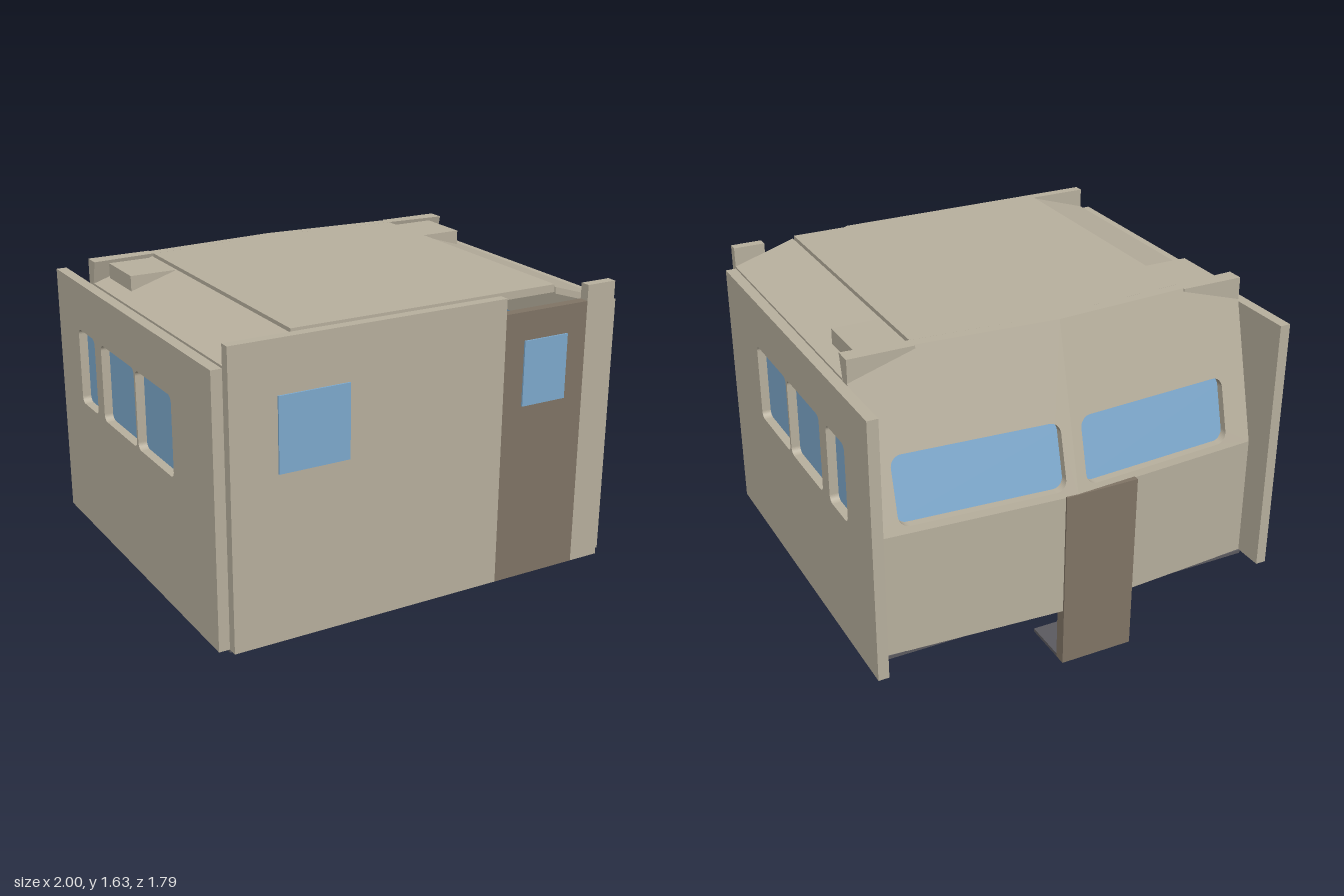
import * as THREE from 'three';

const mat = (name, color) => {
  const m = new THREE.MeshStandardMaterial({ color });
  m.name = name;
  return m;
};

// closed polygon from [x, y] pairs
const poly = (pts) => new THREE.Shape(pts.map(([x, y]) => new THREE.Vector2(x, y)));
const rect = (x0, x1, y0, y1) => poly([[x0, y0], [x1, y0], [x1, y1], [x0, y1]]);

// rectangle with rounded corners
function rounded(x0, x1, y0, y1, r) {
  const s = new THREE.Shape();
  s.absarc(x1 - r, y0 + r, r, -Math.PI / 2, 0);
  s.absarc(x1 - r, y1 - r, r, 0, Math.PI / 2);
  s.absarc(x0 + r, y1 - r, r, Math.PI / 2, Math.PI);
  s.absarc(x0 + r, y0 + r, r, Math.PI, Math.PI * 1.5);
  s.closePath();
  return s;
}

const extrude = (shape, depth) =>
  new THREE.ExtrudeGeometry(shape, { depth, bevelEnabled: false, curveSegments: 6 });

// outer surface of the rear wall: pointed in plan, leaning inward above the fold
const FOLD = 0.88, TOP = 1.635, THICK = 0.05;
const rearZ = (x, y) => -0.815 + 0.068 * Math.abs(x) + 0.265 * Math.max(0, y - FOLD);

// shear a flat slab so that it follows the rear wall
function onRear(shape, depth, offset = 0) {
  const g = extrude(shape, depth);
  const p = g.attributes.position;
  for (let i = 0; i < p.count; i++) {
    p.setZ(i, p.getZ(i) + offset + rearZ(p.getX(i), p.getY(i)));
  }
  g.computeVertexNormals();
  return g;
}

export function createModel() {
  const root = new THREE.Group();
  root.name = 'wheelhouse';
  const hull = mat('hullBeige', 0xb9b19f);
  const brown = mat('doorBrown', 0x817566);
  const glass = mat('windowBlue', 0x7fabcf);
  const grey = mat('floorGrey', 0x5c5b60);

  const add = (name, geometry, material) => {
    const m = new THREE.Mesh(geometry, material);
    m.name = name;
    root.add(m);
    return m;
  };
  // box given by its limits
  const box = (name, material, x0, x1, y0, y1, z0, z1) => {
    const m = add(name, new THREE.BoxGeometry(x1 - x0, y1 - y0, z1 - z0), material);
    m.position.set((x0 + x1) / 2, (y0 + y1) / 2, (z0 + z1) / 2);
  };

  // front wall, left open around the door
  box('frontWall', hull, -0.95, 0.365, 0.285, 1.622, 0.838, 0.885);
  box('frontWallEnd', hull, 0.8, 0.95, 0.285, 1.622, 0.838, 0.885);
  box('frontDoor', brown, 0.365, 0.8, 0.285, 1.55, 0.838, 0.885);
  box('frontWindow', glass, -0.735, -0.405, 1.05, 1.385, 0.884, 0.893);
  box('frontDoorWindow', glass, 0.465, 0.695, 1.12, 1.42, 0.884, 0.893);

  // side windows as [start, end] along -z
  const sidePanes = [[-0.44, -0.055], [-0.04, 0.35], [0.43, 0.635]];
  for (const s of [1, -1]) {
    const side = s > 0 ? 'left' : 'right';

    // side wall with three rounded openings and recessed panes
    const wall = rect(-0.838, 0.895, 0.285, 1.52);
    for (const [a, b] of sidePanes) wall.holes.push(rounded(a, b, 0.92, 1.29, 0.03));
    add(side + 'Wall', extrude(wall, 0.05).rotateY(Math.PI / 2)
      .translate(s > 0 ? 0.95 : -1, 0, 0), hull);
    for (const [a, b] of sidePanes) {
      add(side + 'Window', extrude(rounded(a, b, 0.92, 1.29, 0.03), 0.008)
        .rotateY(Math.PI / 2).translate(s * 0.955 - 0.004, 0, 0), glass);
    }

    // rear wall half: upright base, leaning upper part and its window
    const x0 = s > 0 ? 0 : -0.95, x1 = s > 0 ? 0.95 : 0;
    const w0 = s > 0 ? 0.05 : -0.82, w1 = s > 0 ? 0.82 : -0.05;
    add(side + 'RearBase', onRear(rect(x0, x1, 0.285, FOLD), THICK), hull);
    const upper = rect(x0, x1, FOLD, TOP);
    upper.holes.push(rounded(w0, w1, 0.91, 1.21, 0.05));
    add(side + 'RearUpper', onRear(upper, THICK), hull);
    add(side + 'RearWindow', onRear(rounded(w0, w1, 0.91, 1.21, 0.05), 0.008, 0.038), glass);

    // sloping roof edge
    add(side + 'RoofSlope', extrude(poly([[s * 0.656, 1.622], [s * 0.95, 1.53],
      [s * 0.95, 1.5], [s * 0.656, 1.592]]), 1.36).translate(0, 0, -0.522), hull);

    // wedge-shaped housing on the slope
    add(side + 'RoofHousing', extrude(poly([[s * 0.665, 1.622], [s * 0.88, 1.622],
      [s * 0.88, 1.545], [s * 0.665, 1.612]]), 0.26).translate(0, 0, -0.5), hull);

    // triangular corner fin behind the slope
    add(side + 'CornerFin', extrude(poly([[s * 0.65, TOP], [s * 0.95, TOP],
      [s * 0.95, 1.53], [s * 0.65, 1.622]]), 0.03).translate(0, 0, -0.58), hull);
  }

  // flat roof panel with a pointed rear edge
  const roof = poly([[-0.65, -0.838], [0.65, -0.838], [0.65, 0.52], [0, 0.565], [-0.65, 0.52]]);
  add('roofPanel', extrude(roof, 0.035).rotateX(-Math.PI / 2).translate(0, 1.6, 0), hull);

  // floor with a stairwell opening at the rear
  const floor = poly([[-0.95, -0.838], [0.95, -0.838], [0.95, 0.76], [0.06, 0.76],
    [0.06, 0.33], [-0.3, 0.33], [-0.3, 0.76], [-0.95, 0.76]]);
  add('floor', extrude(floor, 0.016).rotateX(-Math.PI / 2).translate(0, 0.27, 0), grey);

  // steps and the rear door
  box('upperStep', grey, -0.3, 0.06, 0.138, 0.154, -0.545, -0.33);
  box('lowerStep', grey, -0.3, 0.06, 0, 0.016, -0.765, -0.545);
  box('rearDoor', brown, -0.3, 0.06, 0, 0.885, -0.82, -0.762);

  return root;
}
